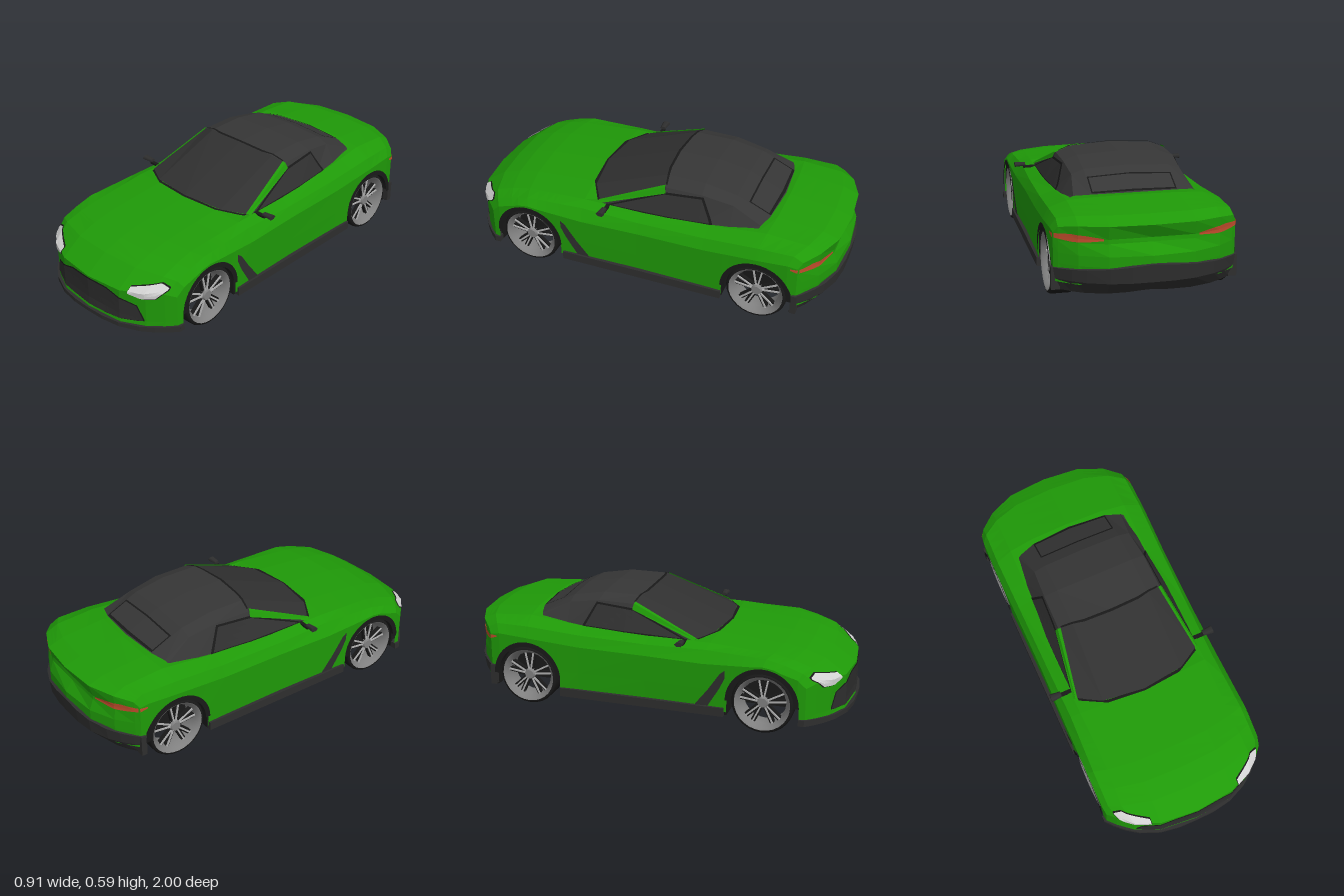
import * as THREE from 'three';

const mat = (name, color, side = THREE.DoubleSide) => new THREE.MeshStandardMaterial({ name, color, side });
const lerp = THREE.MathUtils.lerp;

export function createModel() {
  const car = new THREE.Group();
  car.name = 'convertibleCar';
  const paint = mat('green paint', 0x1f9a08), fabric = mat('soft top', 0x363636), glass = mat('dark glass', 0x303030);
  const trim = mat('dark trim', 0x2e2e2e), black = mat('black', 0x191919), lamp = mat('lamp white', 0xd2d2d2);
  const red = mat('tail light red', 0xc04c2c), rimGrey = mat('rim grey', 0x808080), silver = mat('spoke silver', 0xb0b0b0);

  const add = (name, geo, material, parent = car) => {
    const m = new THREE.Mesh(geo, material);
    m.name = name;
    parent.add(m);
    return m;
  };
  // Faceted surface through rows of [x, y, z] points
  const grid = (rows) => {
    const pos = [];
    for (let i = 0; i + 1 < rows.length; i++)
      for (let j = 0; j + 1 < rows[i].length; j++) {
        const a = rows[i][j], b = rows[i][j + 1], c = rows[i + 1][j + 1], d = rows[i + 1][j];
        pos.push(...a, ...b, ...c, ...a, ...c, ...d);
      }
    const g = new THREE.BufferGeometry();
    g.setAttribute('position', new THREE.Float32BufferAttribute(pos, 3));
    g.computeVertexNormals();
    return g;
  };
  const mirror = (half) => [...half, ...half.slice(0, -1).reverse().map(([x, y, z]) => [-x, y, z])];
  // Cross-sections bow in plan, from zc on the centreline to zs at the flank
  const bow = (x, zs, zc) => zc + (zs - zc) * Math.pow(Math.abs(x) / 0.44, 2.9);
  const box = (name, material, x0, x1, y0, y1, z0, z1, parent = car) =>
    add(name, new THREE.BoxGeometry(x1 - x0, y1 - y0, z1 - z0)
      .translate((x0 + x1) / 2, (y0 + y1) / 2, (z0 + z1) / 2), material, parent);

  // Body keys: zs, zc, x0, x2, y2, x3, y3, x4, y4, centre y
  const keys = [
    [0.80, 0.985, 0.43, 0.43, 0.26, 0.39, 0.278, 0.32, 0.28, 0.264],
    [0.77, 0.87, 0.437, 0.437, 0.30, 0.41, 0.328, 0.35, 0.34, 0.343],
    [0.69, 0.77, 0.439, 0.439, 0.325, 0.41, 0.357, 0.345, 0.368, 0.377],
    [0.60, 0.66, 0.44, 0.44, 0.345, 0.41, 0.38, 0.34, 0.387, 0.397],
    [0.30, 0.33, 0.43, 0.437, 0.33, 0.40, 0.39, 0.35, 0.41, 0.425],
    [0, 0, 0.425, 0.432, 0.335, 0.405, 0.385, 0.35, 0.41, 0.39],
    [-0.35, -0.35, 0.43, 0.435, 0.34, 0.41, 0.395, 0.335, 0.42, 0.40],
    [-0.62, -0.66, 0.44, 0.44, 0.36, 0.415, 0.415, 0.33, 0.45, 0.463],
    [-0.78, -0.90, 0.437, 0.437, 0.37, 0.41, 0.415, 0.33, 0.435, 0.44],
    [-0.82, -0.985, 0.43, 0.43, 0.36, 0.41, 0.39, 0.33, 0.405, 0.412],
  ];
  const axles = [0.6, -0.63], ARCH = 0.177, HUB = 0.155;
  const bottom = (z) => {
    for (const c of axles) {
      const d = Math.abs(z - c);
      if (d < ARCH + 0.0005) return HUB + Math.sqrt(Math.max(0, ARCH * ARCH - d * d));
    }
    return 0.09;
  };
  const section = (z) => {
    let i = 0;
    while (i < keys.length - 2 && z < keys[i + 1][0]) i++;
    const t = (z - keys[i][0]) / (keys[i + 1][0] - keys[i][0]);
    const [zs, zc, x0, x2, y2, x3, y3, x4, y4, yc] = keys[i].map((v, k) => lerp(v, keys[i + 1][k], t));
    const y0 = bottom(z), y1 = Math.max(0.2, y0 + 0.008);
    return [[x0, y0], [(x0 + x2) / 2, y1], [x2, Math.max(y2, y1 + 0.008)], [x3, y3], [x4, y4],
      [0.2, lerp(y4, yc, 0.75)], [0, yc]].map(([x, y]) => [x, y, bow(x, zs, zc)]);
  };
  const stations = keys.map((k) => k[0]);
  for (const c of axles) {
    stations.push(c + ARCH + 0.001, c - ARCH - 0.001);
    for (let i = 0; i <= 10; i++) stations.push(c + ARCH * Math.cos(i * Math.PI / 10));
  }
  stations.sort((a, b) => b - a);
  const body = [add('bodyShell', grid(stations.map((z) => mirror(section(z)))), paint)];

  // Nose and tail faces drop from the end sections; rows are [y, inset]
  const face = (name, z, rows) => {
    const top = section(z).slice(2);
    const lower = rows.map(([y, dz]) => top.map(([x, , zz]) => [x, y, zz + dz * (1 - x / 0.43)]));
    body.push(add(name, grid([top, ...lower].map(mirror)), paint));
  };
  face('noseFace', 0.80, [[0.2, -0.004], [0.12, -0.006], [0.09, 0.004]]);
  face('tailFace', -0.82, [[0.345, 0.035], [0.325, 0.032], [0.27, -0.006], [0.22, -0.006], [0.13, 0.02]]);

  // Greenhouse sections: zs, zc, then side base, window top, roof edge, centre
  const cabin = [
    [0.12, 0.335, [0.347, 0.405], [0.338, 0.413], [0.22, 0.424], [0, 0.43]],
    [-0.2, -0.065, [0.346, 0.405], [0.283, 0.548], [0.21, 0.573], [0, 0.582]],
    [-0.32, -0.28, [0.333, 0.41], [0.28, 0.548], [0.21, 0.573], [0, 0.583]],
    [-0.45, -0.45, [0.328, 0.42], [0.27, 0.52], [0.21, 0.543], [0, 0.553]],
    [-0.5, -0.64, [0.305, 0.445], [0.29, 0.455], [0.21, 0.463], [0, 0.467]],
  ].map(([zs, zc, ...pts]) => mirror(pts.map(([x, y]) => [x, y, bow(x, zs, zc)])));
  const house = [add('windscreen', grid(cabin.slice(0, 2)), glass), add('softTopRoof', grid(cabin.slice(1)), fabric)];

  // Thin plate laid on a surface; columns are [u, low, high], seen along an axis
  const ray = new THREE.Raycaster();
  const decal = (name, target, material, axis, sign, cols, lift) => {
    const rows = [];
    let last = 0;
    for (let i = 0; i + 1 < cols.length; i++)
      for (let s = i ? 1 : 0; s <= 6; s++) {
        const [u, lo, hi] = cols[i].map((v, k) => lerp(v, cols[i + 1][k], s / 6));
        rows.push([0, 0.25, 0.5, 0.75, 1].map((f) => {
          const v = lerp(lo, hi, f);
          const p = axis === 'x' ? [0, v, u] : axis === 'y' ? [u, 0, v] : [u, v, 0];
          const k = 'xyz'.indexOf(axis), dir = [0, 0, 0];
          p[k] = 2 * sign;
          dir[k] = -sign;
          ray.set(new THREE.Vector3(...p), new THREE.Vector3(...dir));
          const hit = ray.intersectObjects(target)[0];
          if (hit) last = hit.point[axis];
          p[k] = last + sign * lift;
          return p;
        }));
      }
    return add(name, grid(rows), material);
  };
  const flip = (cols) => cols.map(([u, a, b]) => [-u, a, b]);
  const across = (cols) => [...cols, ...flip(cols).reverse().slice(1)];

  // Grille, with a dark border
  decal('grilleBorder', body, black, 'z', 1, across([[0.313, 0.12, 0.131], [0.282, 0.114, 0.203], [0.12, 0.103, 0.253], [0, 0.103, 0.258]]), 0.003);
  decal('grille', body, trim, 'z', 1, across([[0.309, 0.122, 0.13], [0.28, 0.117, 0.2], [0.12, 0.106, 0.248], [0, 0.106, 0.253]]), 0.006);
  // Soft top header and rear window seams
  decal('roofHeader', house, black, 'y', 1, across([[0.27, -0.105, -0.096], [0.15, -0.083, -0.07], [0, -0.076, -0.062]]), 0.004);
  decal('rearWindowTopSeam', house, black, 'y', 1, [[-0.207, -0.518, -0.51], [0.207, -0.518, -0.51]], 0.004);
  decal('rearWindowLowerSeam', house, black, 'y', 1, across([[0.207, -0.623, -0.612], [0, -0.636, -0.622]]), 0.004);
  decal('scuttleTrim', body, black, 'y', 1, across([[0.33, 0.235, 0.252], [0.2, 0.31, 0.326], [0, 0.33, 0.345]]), 0.003);

  const mix = (a, b, t) => a.map((v, k) => lerp(v, b[k], t));
  const [base, head] = cabin;
  for (const s of [1, -1]) {
    const side = s > 0 ? 'left' : 'right', m = (c) => (s > 0 ? c : flip(c));
    decal(side + 'HeadlightBorder', body, black, 'z', 1, m([[0.24, 0.259, 0.293], [0.3, 0.244, 0.306], [0.361, 0.249, 0.323], [0.4, 0.294, 0.308]]), 0.003);
    decal(side + 'Headlight', body, lamp, 'z', 1, m([[0.243, 0.262, 0.29], [0.3, 0.247, 0.303], [0.36, 0.252, 0.32], [0.397, 0.297, 0.305]]), 0.007);
    decal(side + 'TailLight', body, red, 'z', -1, m([[0.428, 0.338, 0.359], [0.36, 0.33, 0.366], [0.3, 0.331, 0.362], [0.22, 0.34, 0.35]]), 0.006);
    decal(side + 'TailLightEnd', body, red, 'x', s, [[-0.795, 0.35, 0.358], [-0.832, 0.338, 0.359]], 0.005);
    decal(side + 'RearWindowSeam', house, black, 'y', 1, m([[0.2, -0.614, -0.515], [0.207, -0.614, -0.515]]), 0.004);
    // Windscreen pillar wraps the edge between screen and side window
    const pillar = [
      [mix(base[1], base[2], 0.08), base[1], base[0]],
      [mix(head[1], head[2], 0.2), head[1], mix(head[1], head[0], 0.2)],
    ].map((row) => row.map(([x, y, z]) => [s * (x + 0.004), y + 0.004, z + 0.003]));
    add(side + 'WindscreenPillar', grid(pillar), paint);
    decal(side + 'WindowFrame', house, black, 'x', s, [[0.19, 0.407, 0.411], [-0.1, 0.408, 0.527], [-0.3, 0.413, 0.541], [-0.362, 0.417, 0.425]], 0.003);
    decal(side + 'SideWindow', house, glass, 'x', s, [[0.16, 0.414, 0.417], [-0.1, 0.419, 0.518], [-0.293, 0.423, 0.532], [-0.345, 0.425, 0.43]], 0.006);
    decal(side + 'FenderVent', body, trim, 'x', s, [[0.415, 0.27, 0.31], [0.39, 0.215, 0.29], [0.33, 0.115, 0.2], [0.265, 0.112, 0.116]], 0.005);
    // Sill, bumper ends and door mirror
    const x = (a, b) => (s > 0 ? [a, b] : [-b, -a]);
    box(side + 'Sill', trim, ...x(0.4, 0.445), 0.068, 0.112, -0.45, 0.41);
    box(side + 'SplitterEnd', trim, ...x(0.4, 0.443), 0.068, 0.1, 0.781, 0.81);
    box(side + 'DiffuserEnd', trim, ...x(0.4, 0.441), 0.088, 0.195, -0.838, -0.809);
    box(side + 'MirrorArm', black, ...x(0.33, 0.41), 0.402, 0.412, 0.175, 0.195);
    const mirrorGeo = new THREE.CylinderGeometry(0.02, 0.014, 0.055, 6).rotateZ(-Math.PI / 2).scale(s, 0.62, 1.1);
    add(side + 'DoorMirror', mirrorGeo.translate(s * 0.427, 0.421, 0.185), trim);
  }

  // Front splitter and rear diffuser wrap round the ends
  const xs = [0.443, 0.41, 0.36, 0.3, 0.2, 0.1, 0];
  const wrap = (name, material, rows) => add(name, grid(rows.map((f) => mirror(xs.map((x) => f(x, x / 0.443))))), material);
  const front = (x) => bow(x, 0.80, 0.985), rear = (x) => bow(x, -0.82, -0.985);
  wrap('frontSplitter', trim, [
    (x, t) => [x * 0.98, lerp(0.088, 0.1, t * t), front(x) - 0.01],
    (x, t) => [x, lerp(0.088, 0.1, t * t), front(x) + 0.014],
    (x) => [x, 0.068, front(x) + 0.014]]);
  wrap('frontUndertray', black, [(x) => [x, 0.068, front(x) + 0.014], (x) => [x, 0.068, 0.781]]);
  const tail = (x, t) => [x * 0.98, lerp(0.072, 0.09, t * t), rear(x) + lerp(0.1, 0.015, t)];
  wrap('rearDiffuser', trim, [
    (x, t) => [x * 0.97, lerp(0.24, 0.2, t), rear(x) + 0.012],
    (x, t) => [x * 0.99, lerp(0.232, 0.195, t), rear(x) - 0.014],
    (x) => [x * 0.99, 0.145, rear(x) - 0.006],
    tail]);
  wrap('rearUndertray', black, [tail, (x) => [x * 0.98, 0.088, -0.809]]);

  // Underbody, raised across each axle
  box('middleFloor', black, -0.42, 0.42, 0.069, 0.3, -0.452, 0.422);
  box('frontBulkhead', black, -0.41, 0.41, 0.07, 0.315, 0.777, 0.79);
  box('rearBulkhead', black, -0.41, 0.41, 0.08, 0.34, -0.82, -0.808);

  // Wheels, arch liners and arch lips
  const turn = (pts) => new THREE.LatheGeometry(pts.map((p) => new THREE.Vector2(...p)), 28).rotateZ(-Math.PI / 2);
  const tyreGeo = turn([[0.128, -0.057], [0.148, -0.057], [0.155, -0.045], [0.155, 0.045], [0.148, 0.057], [0.138, 0.057]]);
  const rimGeo = turn([[0.128, -0.057], [0.112, -0.04], [0.112, 0.025], [0.13, 0.052], [0.139, 0.059]]);
  const hubGeo = new THREE.CylinderGeometry(0.024, 0.034, 0.022, 10).rotateZ(-Math.PI / 2);
  const linerGeo = new THREE.CylinderGeometry(ARCH, ARCH, 0.122, 20, 1, true, 0, Math.PI).rotateZ(Math.PI / 2);
  const lipGeo = new THREE.RingGeometry(0.158, 0.183, 24, 1, 0, Math.PI).rotateY(Math.PI / 2);
  for (const z of axles) {
    const end = z > 0 ? 'front' : 'rear';
    box(end + 'AxleTunnel', black, -0.305, 0.305, 0.1, 0.338, z - 0.178, z + 0.178);
    for (const s of [1, -1]) {
      const name = end + (s > 0 ? 'Left' : 'Right');
      const wheel = new THREE.Group();
      wheel.name = name + 'Wheel';
      wheel.position.set(s * 0.373, HUB, z);
      wheel.rotation.y = s > 0 ? 0 : Math.PI;
      car.add(wheel);
      add('tyre', tyreGeo, black, wheel);
      add('rim', rimGeo, rimGrey, wheel);
      add('hub', hubGeo, rimGrey, wheel).position.x = 0.034;
      for (let i = 0; i < 5; i++)
        for (const k of [-1, 1]) {
          const spoke = new THREE.Group();
          spoke.name = 'spoke';
          spoke.rotation.x = i * Math.PI * 0.4 + k * 0.19;
          box('spokeFace', silver, 0.03, 0.036, 0.02, 0.116, -0.004, 0.004, spoke);
          box('spokeBack', black, 0.012, 0.03, 0.02, 0.114, -0.012, 0.012, spoke);
          wheel.add(spoke);
        }
      add(name + 'ArchLiner', linerGeo, black).position.set(s * 0.371, HUB, z);
      add(name + 'ArchLip', lipGeo, black).position.set(s * 0.442, HUB, z);
    }
  }
  return car;
}
